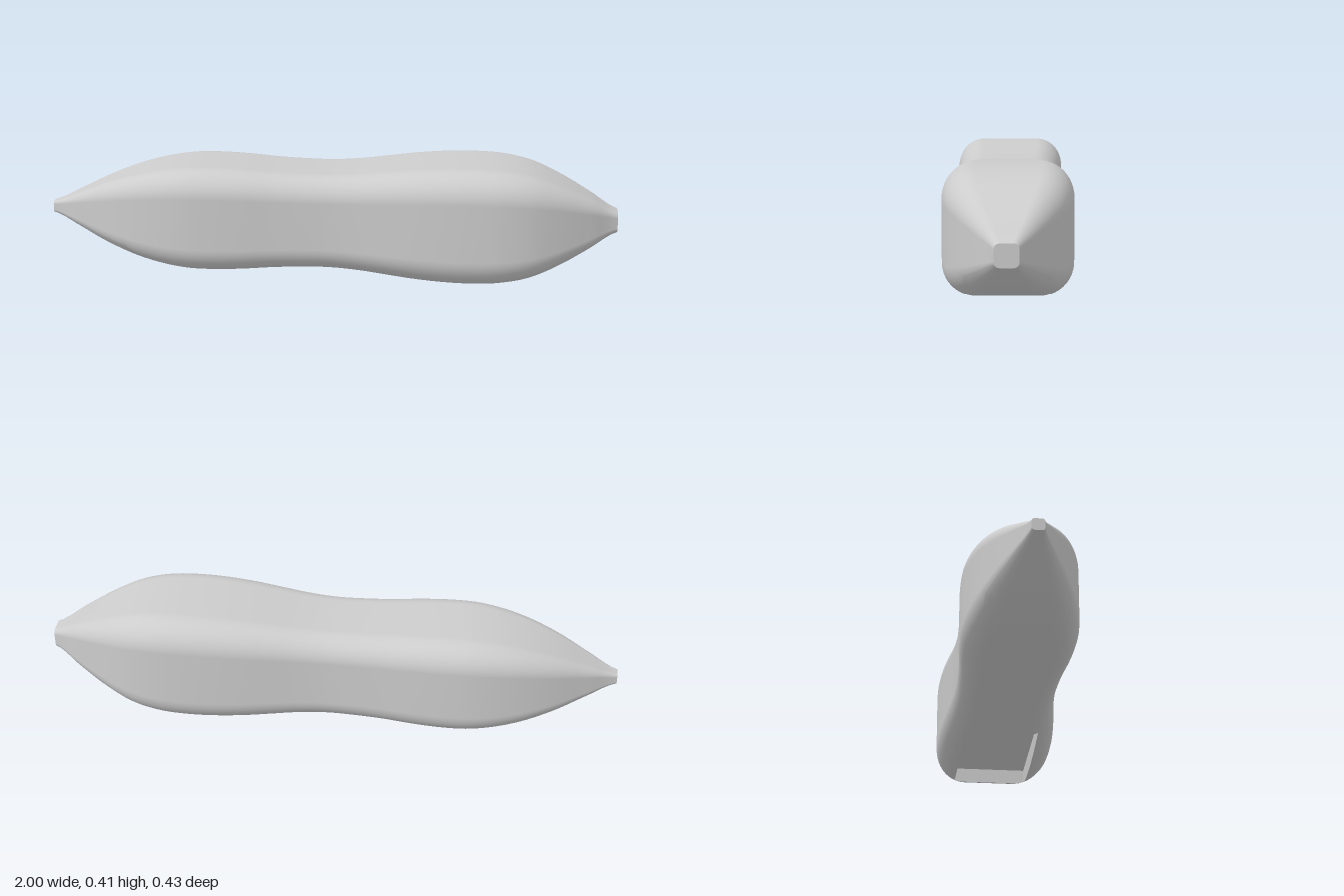
import * as THREE from 'three';

const CENTER_Y = 0.205, WIDTH_RATIO = 1.045;
const SLOT = { x0: 0.19, x1: 0.69, z: 0.135, ceiling: 0.075 };
const LIP = 4; // ring index where the slot edge runs

// Half height of the body at every 0.1 along x
const profile = new THREE.SplineCurve([
  0.02, 0.062, 0.107, 0.143, 0.168, 0.182, 0.184, 0.18, 0.173, 0.169, 0.168,
  0.174, 0.185, 0.196, 0.203, 0.205, 0.2, 0.181, 0.142, 0.091, 0.037,
].map((h, i) => new THREE.Vector2(i, h)));

// Rounded-square cross-section, from bottom centre round by +z and back
function section(x) {
  const h = profile.getPoint((x + 1) / 2).y;
  const w = h * WIDTH_RATIO, r = h * 0.5;
  const split = Math.asin(THREE.MathUtils.clamp((SLOT.z - (w - r)) / r, 0.1, 0.9));
  const half = [];
  const arc = (from, to, steps, first, cy) => {
    for (let i = first; i <= steps; i++) {
      const a = from + (to - from) * i / steps;
      half.push([x, CENTER_Y + cy - r * Math.cos(a), w - r + r * Math.sin(a)]);
    }
  };
  arc(0, split, LIP, 0, r - h);
  arc(split, Math.PI / 2, 8, 1, r - h);
  arc(Math.PI / 2, Math.PI, 12, 0, h - r);
  return [...half, ...half.map(([px, y, z]) => [px, y, -z]).reverse()];
}

function makeGeometry(points, index, flat = false) {
  let g = new THREE.BufferGeometry();
  g.setAttribute('position', new THREE.Float32BufferAttribute(points.flat(), 3));
  g.setIndex(index);
  if (flat) g = g.toNonIndexed();
  g.computeVertexNormals();
  return g;
}

// Joins rows of points into a surface, leaving out quads when skip says so
function loft(rows, closed, skip = () => false, flat = false) {
  const n = rows[0].length, index = [];
  for (let i = 0; i < rows.length - 1; i++) {
    for (let j = 0; j < (closed ? n : n - 1); j++) {
      if (skip(i, j)) continue;
      const k = (j + 1) % n, a = i * n, b = a + n;
      index.push(a + j, b + j, a + k, b + j, b + k, a + k);
    }
  }
  return makeGeometry(rows.flat(), index, flat);
}

function cap(ring, facesRight) {
  const points = [...ring, [ring[0][0], CENTER_Y, 0]], n = ring.length, index = [];
  for (let j = 0; j < n; j++) {
    const k = (j + 1) % n;
    index.push(...(facesRight ? [n, k, j] : [n, j, k]));
  }
  return makeGeometry(points, index, true);
}

export function createModel() {
  const group = new THREE.Group();
  const grey = new THREE.MeshStandardMaterial({ color: 0xcccccc });
  grey.name = 'grey';
  grey.side = THREE.DoubleSide;
  const add = (name, geometry) => {
    const mesh = new THREE.Mesh(geometry, grey);
    mesh.name = name;
    group.add(mesh);
  };

  // Stations along x, with exact stops at both ends of the slot
  const xs = [-1];
  for (const [from, to, steps] of [[-1, SLOT.x0, 56], [SLOT.x0, SLOT.x1, 24], [SLOT.x1, 1, 18]]) {
    for (let i = 1; i <= steps; i++) xs.push(from + (to - from) * i / steps);
  }
  const rings = xs.map(section), n = rings[0].length;
  const inSlot = (i) => i >= 56 && i < 80;
  const isBelly = (j) => j < LIP || j >= n - 1 - LIP;

  // Smooth body with the slot left open underneath, and flat tips
  add('body', loft(rings, true, (i, j) => inSlot(i) && isBelly(j)));
  add('rightTip', cap(rings[0], false));
  add('leftTip', cap(rings[rings.length - 1], true));

  // Slot side walls and ceiling
  const slotRows = rings.slice(56, 81).map((ring) => {
    const a = ring[n - 1 - LIP], b = ring[LIP];
    return [a, [a[0], SLOT.ceiling, a[2]], [b[0], SLOT.ceiling, b[2]], b];
  });
  add('slotLining', loft(slotRows, false, undefined, true));

  // Slot end walls
  for (const [name, i] of [['slotRightEnd', 56], ['slotLeftEnd', 80]]) {
    const edge = [...rings[i].slice(n - 1 - LIP), ...rings[i].slice(0, LIP + 1)];
    const top = edge.map(([x, , z]) => [x, SLOT.ceiling, z]);
    add(name, loft(i === 56 ? [top, edge] : [edge, top], false, undefined, true));
  }
  return group;
}
